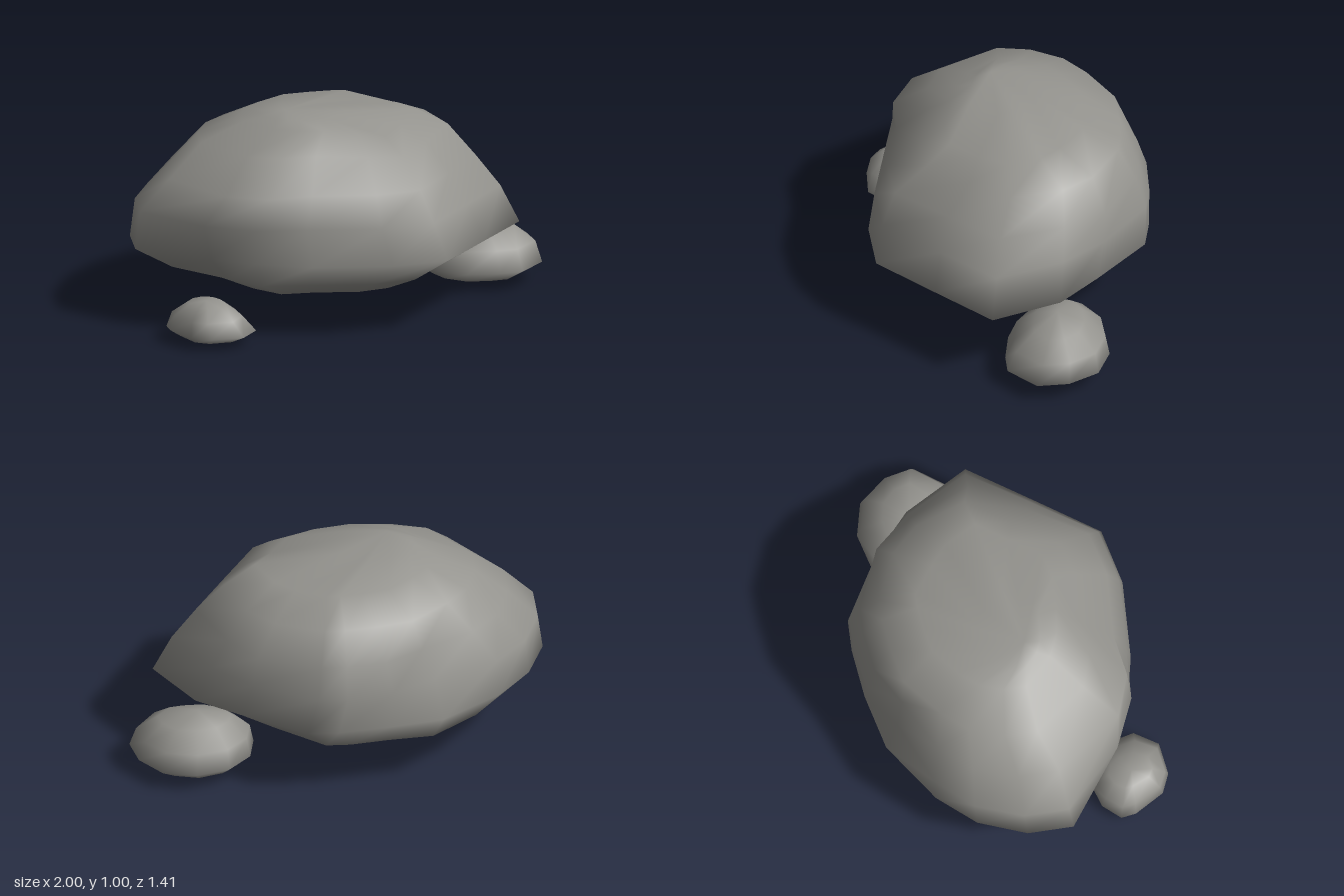
import * as THREE from 'three';

const material = new THREE.MeshStandardMaterial({ color: 0x94938e });

// Lofts a closed stone: an outline [x, z] is fitted into each level's bounds [y, x0, x1, z0, z1].
// low and high are the closing points; bumps are [x, y, z, radius, pushX, pushY, pushZ].
function makeStone(name, outline, levels, low, high, bumps = []) {
  const xs = outline.map(p => p[0]), zs = outline.map(p => p[1]);
  const minX = Math.min(...xs), spanX = Math.max(...xs) - minX;
  const minZ = Math.min(...zs), spanZ = Math.max(...zs) - minZ;
  const n = outline.length, points = [], index = [];
  for (const [y, x0, x1, z0, z1] of levels) {
    for (const [x, z] of outline) {
      const p = new THREE.Vector3(
        x0 + (x1 - x0) * (x - minX) / spanX, y, z0 + (z1 - z0) * (z - minZ) / spanZ);
      for (const [bx, by, bz, r, px, py, pz] of bumps) {
        const d = p.distanceTo(new THREE.Vector3(bx, by, bz)) / r;
        if (d < 1) p.addScaledVector(new THREE.Vector3(px, py, pz), (1 - d * d) ** 2);
      }
      points.push(p);
    }
  }
  const bottom = points.length, top = bottom + 1, last = (levels.length - 1) * n;
  points.push(new THREE.Vector3(...low), new THREE.Vector3(...high));
  for (let i = 0; i < n; i++) {
    const j = (i + 1) % n;
    index.push(bottom, j, i, top, last + i, last + j);
    for (let k = 0; k < last; k += n) {
      index.push(k + i, k + j, k + n + j, k + i, k + n + j, k + n + i);
    }
  }
  const geometry = new THREE.BufferGeometry().setFromPoints(points);
  geometry.setIndex(index);
  geometry.computeVertexNormals();
  const mesh = new THREE.Mesh(geometry, material);
  mesh.name = name;
  return mesh;
}

export function createModel() {
  const group = new THREE.Group();
  group.name = 'rocks';

  // Large boulder with an undercut base and a gently sloping top
  group.add(makeStone('boulder',
    [[0.86, -0.03], [0.69, -0.34], [0.48, -0.5], [0.19, -0.7], [0.04, -0.705], [-0.2, -0.68],
      [-0.47, -0.63], [-0.75, -0.42], [-0.91, -0.25], [-1, -0.02], [-1, 0.2], [-0.71, 0.46],
      [-0.46, 0.57], [-0.2, 0.6], [0.18, 0.62], [0.45, 0.56], [0.66, 0.26]],
    [[0.17, -0.38, 0.24, -0.3, 0.16],
      [0.21, -0.6, 0.4, -0.52, 0.5],
      [0.27, -0.82, 0.62, -0.65, 0.58],
      [0.37, -1, 0.865, -0.7, 0.625],
      [0.55, -0.975, 0.775, -0.7, 0.6],
      [0.7, -0.83, 0.66, -0.65, 0.54],
      [0.85, -0.67, 0.53, -0.56, 0.38],
      [0.94, -0.47, 0.38, -0.39, 0.27],
      [0.968, -0.38, 0.02, -0.13, 0.17]],
    [0.03, 0.135, -0.03], [-0.27, 1, 0.08],
    [[-0.47, 0.6, -0.6, 0.32, 0.05, 0, 0.08], // hollow in the back
      [-0.42, 0.4, 0.57, 0.2, 0, 0, -0.07], // hollow in the front
      [-0.72, 0.34, 0.45, 0.22, 0.05, 0, -0.05], // undercut above the pebble
      [-0.38, 0.22, 0.48, 0.17, -0.04, 0, 0.05], // lip below the front hollow
      [-0.58, 0.25, -0.5, 0.3, -0.02, -0.04, -0.02], // low lip at the back
      [0.36, 0.75, -0.46, 0.33, 0.06, 0, -0.06], // full back shoulder
      [-0.53, 0.77, 0.4, 0.38, 0, 0, 0.1], // full front shoulder
      [0.24, 0.96, 0.22, 0.35, 0, -0.045, 0], // sloping front of the crown
      [0.28, 0.97, -0.3, 0.25, 0, -0.02, 0]])); // sloping back of the crown

  // Small pebble at the front
  group.add(makeStone('frontPebble',
    [[-0.47, 0.57], [-0.5, 0.44], [-0.58, 0.36], [-0.69, 0.335], [-0.8, 0.37], [-0.87, 0.45],
      [-0.86, 0.52], [-0.78, 0.66], [-0.69, 0.7], [-0.54, 0.68]],
    [[0.015, -0.77, -0.6, 0.43, 0.61],
      [0.03, -0.83, -0.54, 0.37, 0.67],
      [0.06, -0.88, -0.465, 0.337, 0.708],
      [0.135, -0.855, -0.53, 0.36, 0.69],
      [0.19, -0.78, -0.61, 0.42, 0.63]],
    [-0.68, 0, 0.52], [-0.7, 0.202, 0.53]));

  // Medium stone at the back
  group.add(makeStone('backStone',
    [[1, -0.25], [0.97, -0.4], [0.87, -0.53], [0.71, -0.57], [0.55, -0.53], [0.44, -0.42],
      [0.41, -0.28], [0.48, -0.16], [0.62, -0.08], [0.78, -0.08], [0.89, -0.1]],
    [[0.02, 0.6, 0.81, -0.41, -0.23],
      [0.045, 0.48, 0.9, -0.51, -0.13],
      [0.095, 0.41, 1, -0.57, -0.078],
      [0.195, 0.43, 0.97, -0.55, -0.12],
      [0.27, 0.52, 0.87, -0.45, -0.21]],
    [0.71, 0.01, -0.32], [0.68, 0.307, -0.32]));

  return group;
}
